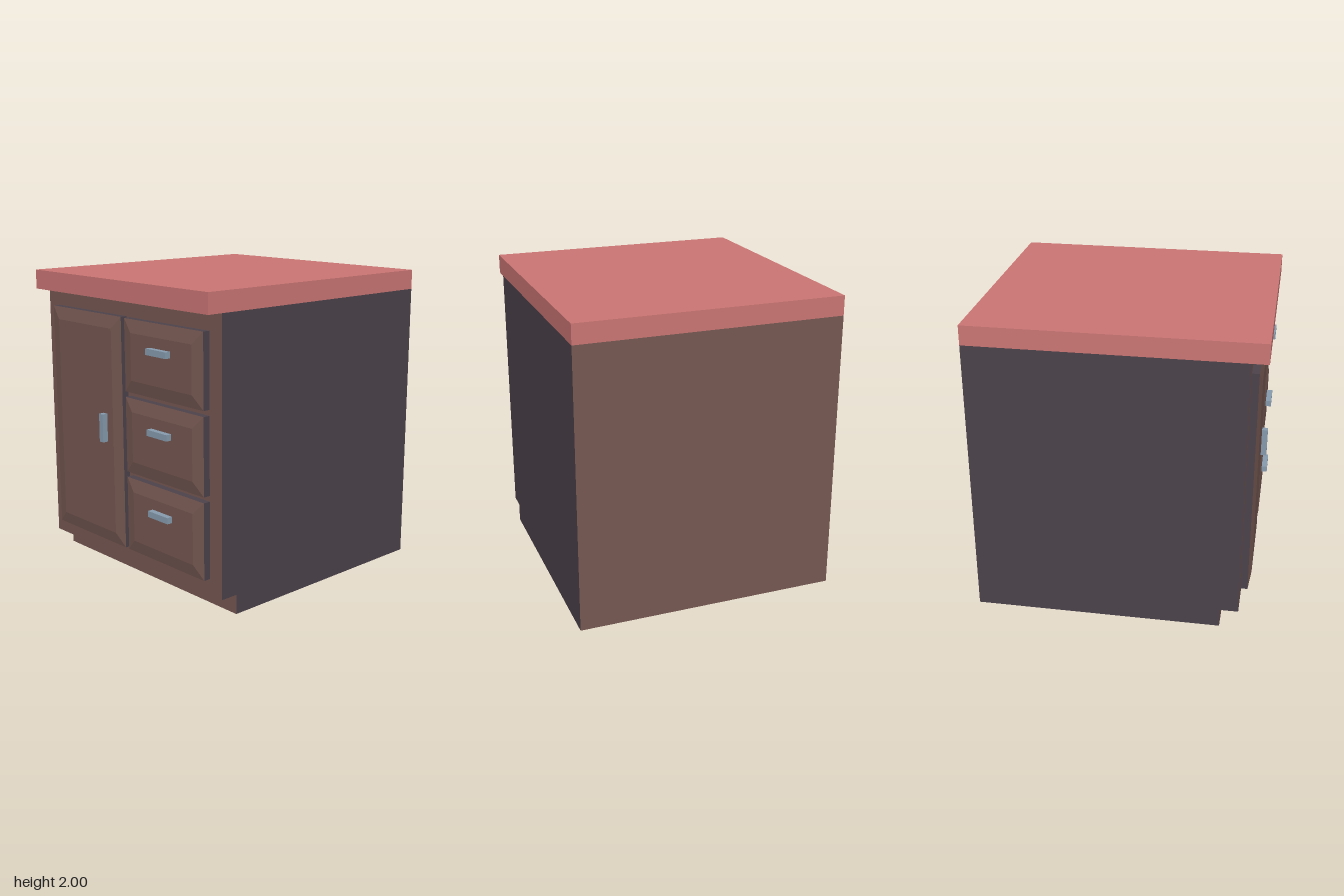
import * as THREE from 'three';

const material = (name, color) => {
  const m = new THREE.MeshStandardMaterial({ color });
  m.name = name;
  return m;
};

export function createModel() {
  const wood = material('brown wood', 0x765852);
  const dark = material('dark wood', 0x4c424b);
  const top = material('red worktop', 0xcb7674);
  const metal = material('blue grey metal', 0x869bae);

  const model = new THREE.Group();
  model.name = 'kitchenCabinet';

  // Box given by its lower and upper limits on each axis
  function box(name, [x0, x1], [y0, y1], [z0, z1], mat, parent = model) {
    const mesh = new THREE.Mesh(new THREE.BoxGeometry(x1 - x0, y1 - y0, z1 - z0), mat);
    mesh.position.set((x0 + x1) / 2, (y0 + y1) / 2, (z0 + z1) / 2);
    mesh.name = name;
    parent.add(mesh);
    return mesh;
  }

  // Dark sides and ledge, brown front and back (+x, -x, +y, -y, +z, -z)
  const width = [-0.87, 0.87];
  box('carcass', width, [0.127, 1.872], [-0.925, 0.82], [dark, dark, wood, dark, wood, wood]);
  box('plinth', width, [0, 0.127], [-0.925, 0.70], [dark, dark, wood, wood, wood, wood]);
  box('worktop', width, [1.872, 2], [-0.925, 0.925], top);

  // Panel with a dark rim and a raised face with sloping borders
  function panel(name, xs, ys) {
    const group = new THREE.Group();
    group.name = name;
    model.add(group);
    box('rim', xs, ys, [0.82, 0.867], [dark, dark, dark, dark, wood, wood], group);
    const face = box('raisedFace', xs, ys, [0.867, 0.885], wood, group);
    const p = face.geometry.attributes.position;
    const inset = 0.083;
    for (let i = 0; i < p.count; i++) {
      if (p.getZ(i) > 0) {
        p.setX(i, p.getX(i) - Math.sign(p.getX(i)) * inset);
        p.setY(i, p.getY(i) - Math.sign(p.getY(i)) * inset);
      }
    }
    face.geometry.computeVertexNormals();
    return group;
  }

  // Door on the right with an upright handle
  const door = panel('door', [-0.757, -0.013], [0.232, 1.763]);
  box('doorHandle', [-0.195, -0.157], [0.93, 1.117], [0.88, 0.923], metal, door);

  // Three drawers: lower edge, upper edge, handle height
  const drawers = [
    [0.232, 0.727, 0.556],
    [0.763, 1.256, 1.083],
    [1.292, 1.76, 1.589],
  ];
  for (const [y0, y1, h] of drawers) {
    const drawer = panel('drawer', [0.021, 0.763], [y0, y1]);
    box('drawerHandle', [0.297, 0.487], [h - 0.02, h + 0.02], [0.88, 0.923], metal, drawer);
  }
  return model;
}
